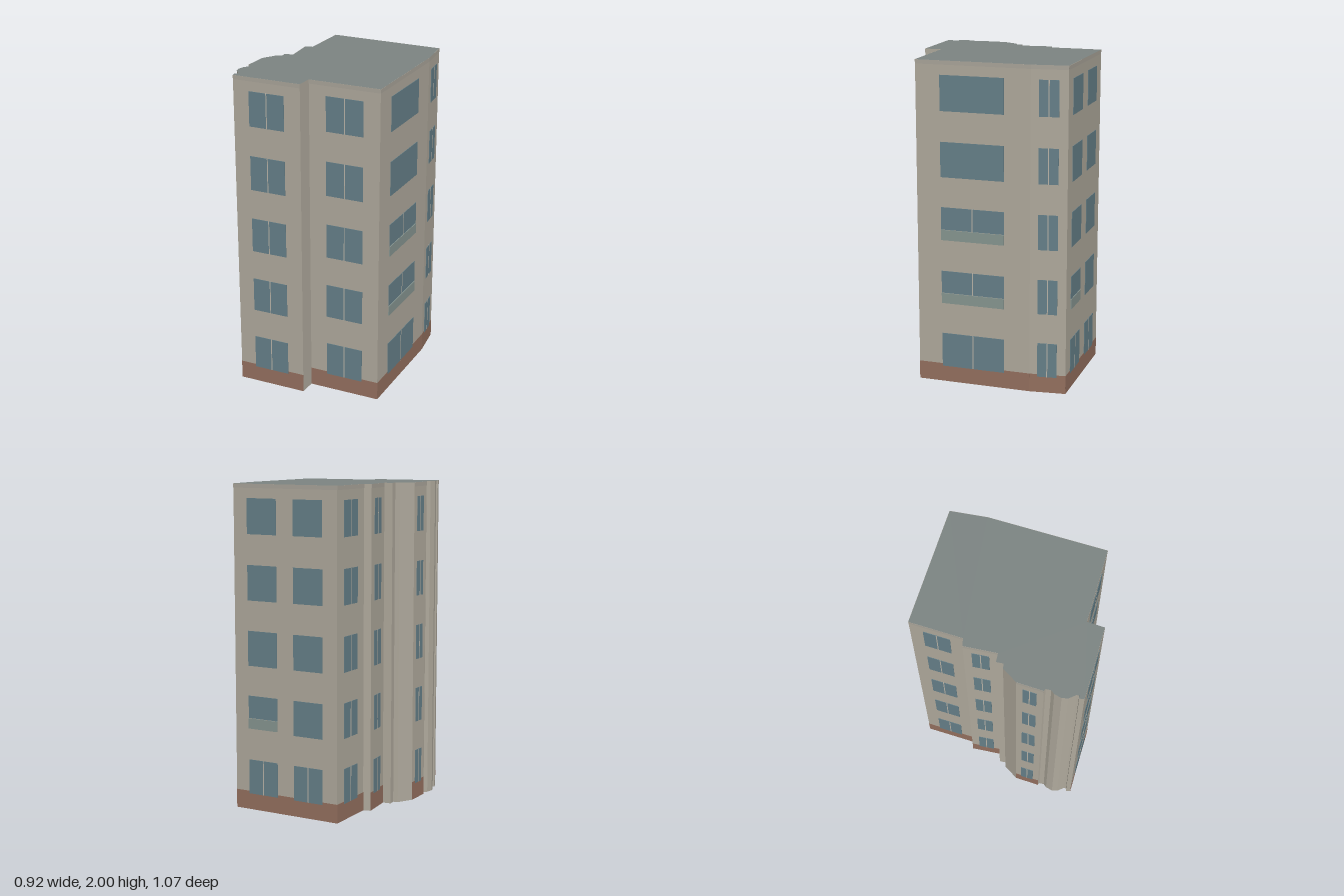
import * as THREE from 'three';
import { mergeGeometries } from 'three/addons/utils/BufferGeometryUtils.js';

const H = 2;
// Floor plan outline as [x, z], starting at the back and going round by +x
const PLAN = [
  [-0.295, -0.53], [0.422, -0.53], [0.45, -0.31], [0.457, 0.402], [0.006, 0.413], [0.004, 0.519],
  [-0.43, 0.53], [-0.437, 0.502], [-0.42, 0.497], [-0.422, 0.482], [-0.453, 0.446], [-0.463, 0.41],
  [-0.453, 0.365], [-0.437, 0.343], [-0.44, 0.312], [-0.453, 0.306], [-0.451, 0.147], [-0.398, 0.055],
  [-0.369, 0.049], [-0.373, 0.006], [-0.32, 0.001], [-0.34, -0.199], [-0.295, -0.21],
];

const mat = (color) => new THREE.MeshStandardMaterial({ color, side: THREE.DoubleSide });
const wallMat = mat(0xb0aa9d), roofMat = mat(0x7c8482), brickMat = mat(0x94705f);
const glassMat = mat(0x668089), panelMat = mat(0x879691), barMat = mat(0xbab5a9), copeMat = mat(0xaaa59a);

function edge(i) {
  const a = PLAN[i], b = PLAN[(i + 1) % PLAN.length];
  const dx = b[0] - a[0], dz = b[1] - a[1];
  return { a, b, len: Math.hypot(dx, dz), angle: Math.atan2(dz, -dx), axis: Math.abs(dx) > Math.abs(dz) ? 0 : 1 };
}

// Thin slab on wall i covering t0..t1 of its length, y0..y1, lying from offset "from" to "to" in front of it
function slab(i, t0, t1, y0, y1, from, to, material, name) {
  const { a, b, len, angle } = edge(i), t = (t0 + t1) / 2;
  const geo = new THREE.BoxGeometry(Math.abs(t1 - t0) * len, y1 - y0, to - from);
  geo.translate(0, 0, (from + to) / 2);
  const mesh = new THREE.Mesh(geo, material);
  mesh.position.set(a[0] + (b[0] - a[0]) * t, (y0 + y1) / 2, a[1] + (b[1] - a[1]) * t);
  mesh.rotation.y = angle;
  mesh.name = name;
  return mesh;
}

// Column of five windows; c0..c1 is the span along the wall's main axis
function windowColumn(name, i, c0, c1, barRows, panelRows = []) {
  const { a, b, len, axis } = edge(i);
  const toT = (c) => (c - a[axis]) / (b[axis] - a[axis]);
  const t0 = toT(c0), t1 = toT(c1), mid = (t0 + t1) / 2, half = 0.003 / len;
  const group = new THREE.Group();
  group.name = name;
  for (let row = 0; row < 5; row++) {
    const y = 0.1 + row * 0.4, top = y + 0.215;
    const hasPanel = panelRows.includes(row);
    const sill = hasPanel ? y + 0.076 : y;
    group.add(slab(i, t0, t1, sill, top, 0, 0.003, glassMat, 'windowGlass'));
    if (barRows.includes(row)) group.add(slab(i, mid - half, mid + half, sill, top, 0, 0.0038, barMat, 'windowBar'));
    if (hasPanel) group.add(slab(i, t0, t1, y + 0.01, y + 0.074, 0, 0.006, panelMat, 'balconyPanel'));
  }
  return group;
}

export function createModel() {
  const model = new THREE.Group();
  model.name = 'apartmentTower';

  // Walls, one flat sheet per side of the plan, open underneath
  const sheets = PLAN.map((_, i) => {
    const { a, b, len, angle } = edge(i);
    return new THREE.PlaneGeometry(len, H).rotateY(angle)
      .translate((a[0] + b[0]) / 2, H / 2, (a[1] + b[1]) / 2);
  });
  const walls = new THREE.Mesh(mergeGeometries(sheets), wallMat);
  walls.name = 'walls';
  model.add(walls);

  // Flat roof
  const outline = new THREE.Shape(PLAN.map(([x, z]) => new THREE.Vector2(x, -z)));
  const roof = new THREE.Mesh(new THREE.ShapeGeometry(outline).rotateX(-Math.PI / 2).translate(0, H, 0), roofMat);
  roof.name = 'roof';
  model.add(roof);

  // Brick plinth and coping on the window walls: back, right, front, notched side
  for (const i of [0, 1, 2, 3, 5, 15, 20, 22]) {
    model.add(slab(i, 0, 1, 0, 0.115, 0, 0.001, brickMat, 'brickPlinth'));
    model.add(slab(i, 0, 1, 1.975, H, 0, 0.001, copeMat, 'coping'));
  }

  // Windows
  const all = [0, 1, 2, 3, 4];
  model.add(
    windowColumn('frontWindowsNegX', 5, -0.328, -0.1, all),
    windowColumn('frontWindowsPosX', 3, 0.115, 0.352, all),
    windowColumn('wideSideWindows', 2, -0.148, 0.25, [0, 1, 2], [1, 2]),
    windowColumn('narrowSideWindows', 1, -0.476, -0.358, all),
    windowColumn('backWindowsPosX', 0, 0.122, 0.327, [0], [1]),
    windowColumn('backWindowsNegX', 0, -0.195, 0.005, [0]),
    windowColumn('notchedSideRearWindows', 22, -0.45, -0.29, all),
    windowColumn('notchedSideMiddleWindows', 20, -0.15, -0.05, all),
    windowColumn('notchedSideFrontWindows', 15, 0.185, 0.267, all),
  );
  return model;
}
